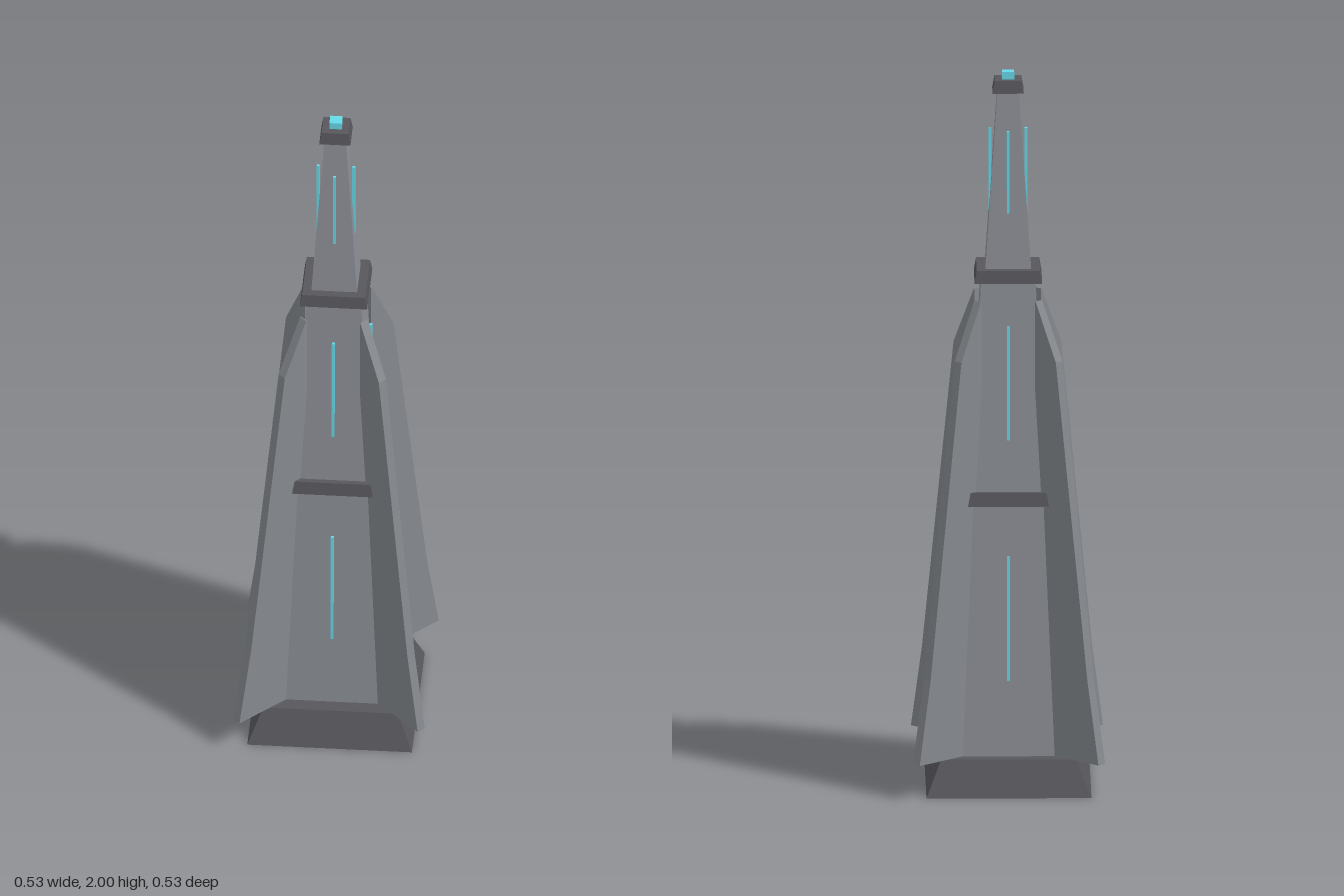
import * as THREE from 'three';

const material = (color) => new THREE.MeshStandardMaterial({ color, flatShading: true });

export function createModel() {
  const group = new THREE.Group();
  const stone = material(0x8c8f96);
  const trim = material(0x57575c);
  const finGrey = material(0x85898e);
  const glow = material(0x66d9e8);

  const add = (name, geometry, mat) => {
    const mesh = new THREE.Mesh(geometry, mat);
    mesh.name = name;
    group.add(mesh);
    return mesh;
  };

  // Square block tapering from half-width h0 at y0 to h1 at y1
  const taper = (name, y0, y1, h0, h1, mat) => {
    const geometry = new THREE.CylinderGeometry(h1 * Math.SQRT2, h0 * Math.SQRT2, y1 - y0, 4);
    geometry.rotateY(Math.PI / 4).translate(0, (y0 + y1) / 2, 0);
    add(name, geometry, mat);
  };

  // Stacked tower with collars between the stages
  taper('base', 0, 0.1, 0.227, 0.186, trim);
  taper('lowerTower', 0.1, 0.8, 0.145, 0.115, stone);
  taper('lowerCollar', 0.8, 0.837, 0.13, 0.123, trim);
  taper('middleTower', 0.837, 1.42, 0.108, 0.075, stone);
  taper('upperCollar', 1.42, 1.455, 0.093, 0.087, trim);
  taper('spire', 1.455, 1.945, 0.063, 0.03, stone);
  taper('spireCap', 1.945, 1.98, 0.043, 0.037, trim);
  taper('beacon', 1.98, 2, 0.017, 0.017, glow);

  // Diagonal fins: profile of distance along one axis against height
  const profile = [[0.082, 0.1], [0.255, 0.1], [0.225, 0.33], [0.139, 1.21], [0.084, 1.37], [0.082, 1.37]];
  const thickness = 0.026;
  const finGeometry = new THREE.ExtrudeGeometry(
    new THREE.Shape(profile.map(([x, y]) => new THREE.Vector2(x * Math.SQRT2, y))),
    { depth: thickness, bevelEnabled: false }
  ).translate(0, 0, -thickness / 2);

  // Upright light strips on each face: bottom, top, distance from the axis
  const strips = [[0.31, 0.66, 0.133], [0.98, 1.3, 0.096], [1.61, 1.84, 0.049]];

  for (let i = 0; i < 4; i++) {
    const angle = i * Math.PI / 2;
    add('fin', finGeometry, finGrey).rotation.y = angle + Math.PI / 4;
    for (const [y0, y1, distance] of strips) {
      const geometry = new THREE.BoxGeometry(0.008, y1 - y0, 0.008);
      geometry.translate(0, (y0 + y1) / 2, distance);
      add('lightStrip', geometry, glow).rotation.y = angle;
    }
  }
  return group;
}
